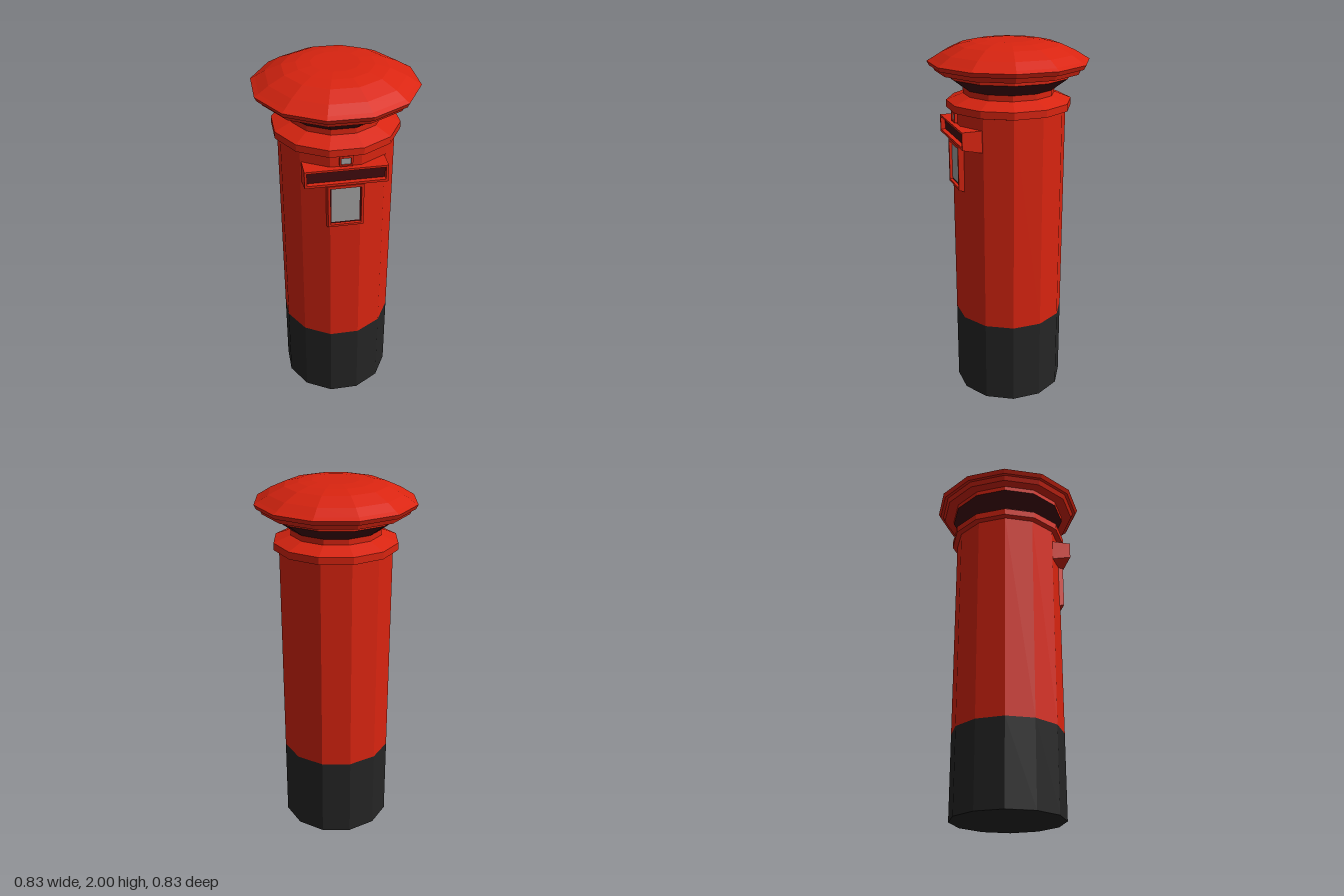
import * as THREE from 'three';

const SIDES = 12;
const APOTHEM = Math.cos(Math.PI / SIDES);

// Give every facet its own normal
function faceted(geometry) {
  const g = geometry.index ? geometry.toNonIndexed() : geometry;
  g.computeVertexNormals();
  return g;
}

// Twelve-sided turned part; profile is [distance to flat, y], bottom to top
function turned(profile) {
  const pts = profile.map(([a, y]) => new THREE.Vector2(a / APOTHEM, y));
  return faceted(new THREE.LatheGeometry(pts, SIDES, Math.PI / SIDES));
}

function rectPath(path, w, y0, y1) {
  path.moveTo(-w, y0);
  path.lineTo(w, y0);
  path.lineTo(w, y1);
  path.lineTo(-w, y1);
  path.closePath();
  return path;
}

// Rectangular frame with an opening, running from z0 to z1
function frame(outer, inner, z0, z1, reshape) {
  const shape = rectPath(new THREE.Shape(), ...outer);
  shape.holes.push(rectPath(new THREE.Path(), ...inner));
  const g = new THREE.ExtrudeGeometry(shape, { depth: z1 - z0, bevelEnabled: false });
  g.translate(0, 0, z0);
  const p = g.attributes.position;
  if (reshape) for (let i = 0; i < p.count; i++) reshape(p, i);
  return faceted(g);
}

function plate(w, y0, y1, z) {
  const g = new THREE.BoxGeometry(w * 2, y1 - y0, 0.004);
  g.translate(0, (y0 + y1) / 2, z);
  return g;
}

export function createModel() {
  const group = new THREE.Group();
  const material = (name, color) => {
    const m = new THREE.MeshStandardMaterial({ color });
    m.name = name;
    return m;
  };
  const red = material('postRed', 0xd92410);
  const dark = material('darkRed', 0x420a0d);
  const black = material('baseBlack', 0x252525);
  const grey = material('noticeGrey', 0xa2a2a2);

  const add = (name, geometry, mat) => {
    const mesh = new THREE.Mesh(geometry, mat);
    mesh.name = name;
    group.add(mesh);
  };

  // Pillar
  add('base', turned([[0, 0], [0.295, 0], [0.295, 0.465]]), black);
  add('body', turned([[0.295, 0.465], [0.295, 1.645]]), red);
  add('collar', turned([
    [0.295, 1.645], [0.322, 1.652], [0.322, 1.69], [0.235, 1.725], [0.235, 1.755],
  ]), red);
  add('neck', turned([[0.235, 1.755], [0.32, 1.82]]), dark);

  // Stepped, domed cap
  add('cap', turned([
    [0.32, 1.82], [0.32, 1.845], [0.375, 1.845], [0.385, 1.872], [0.402, 1.872],
    [0.413, 1.895], [0.39, 1.908], [0.34, 1.94], [0.26, 1.977], [0.19, 1.993],
    [0.12, 2], [0, 2],
  ]), red);

  // Letter slot; the underside of the hood falls towards the body
  add('slotHood', frame([0.21, 1.49, 1.583], [0.198, 1.503, 1.572], 0.21, 0.325, (p, i) => {
    if (p.getZ(i) < 0.3 && p.getY(i) < 1.495) p.setY(i, 1.465);
  }), red);
  add('slotOpening', plate(0.199, 1.502, 1.573, 0.298), dark);

  // Collection notice, its frame splayed slightly towards the body
  add('noticeFrame', frame([0.1, 1.225, 1.48], [0.079, 1.25, 1.465], 0.27, 0.314, (p, i) => {
    if (p.getZ(i) < 0.3) return;
    if (Math.abs(p.getX(i)) > 0.09) p.setX(i, Math.sign(p.getX(i)) * 0.092);
    if (p.getY(i) < 1.24) p.setY(i, 1.238);
  }), red);
  add('noticeBorder', plate(0.08, 1.249, 1.466, 0.296), dark);
  add('notice', plate(0.072, 1.259, 1.458, 0.299), grey);

  // Small tab holder above the slot
  add('tabFrame', frame([0.033, 1.59, 1.645], [0.024, 1.598, 1.634], 0.28, 0.312), red);
  add('tab', plate(0.024, 1.598, 1.634, 0.302), grey);

  return group;
}
